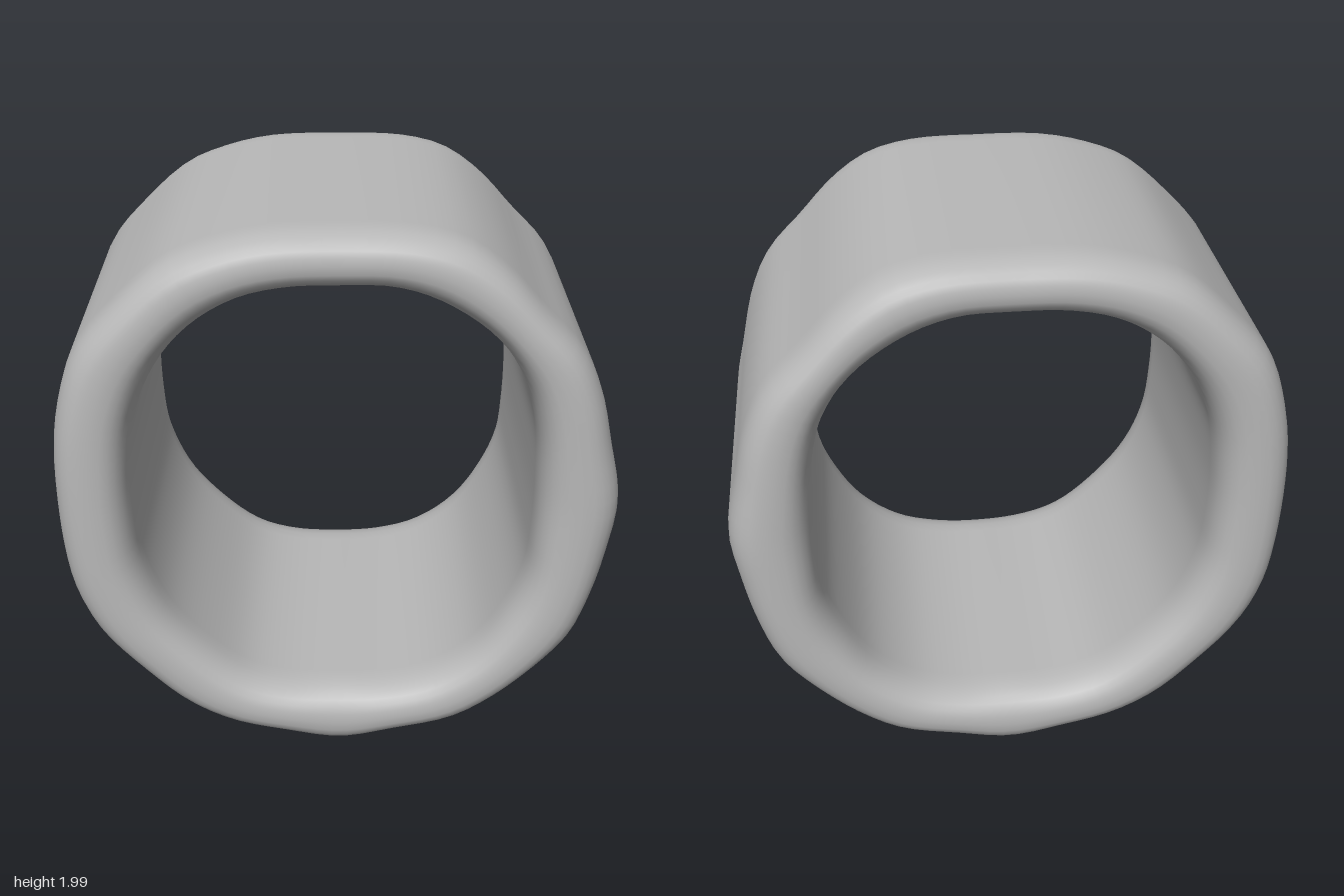
import * as THREE from 'three';

const SEGMENTS = 104; // steps around the ring
const CORNER = 7; // steps in each rounded corner of the wall

// Evenly spaced points on a closed smooth outline, clockwise from the top
function outline(points) {
  const curve = new THREE.CatmullRomCurve3(points.map(([x, y]) => new THREE.Vector3(x, y, 0)), true);
  curve.arcLengthDivisions = 800;
  return curve.getSpacedPoints(SEGMENTS).slice(0, SEGMENTS);
}

// Wall cross-section: t runs from the inner (0) to the outer (1) outline, z is the depth
function wallSection() {
  const section = [];
  for (let quarter = 0; quarter < 4; quarter++) {
    for (let k = 0; k <= CORNER; k++) {
      const a = Math.PI / 2 - (quarter + k / CORNER) * Math.PI / 2;
      const c = Math.cos(a), s = Math.sin(a);
      const front = quarter === 0 || quarter === 3 ? 1 : -1;
      if (k === 0 && quarter % 2 === 0) continue; // shared middle of a rim
      section.push({
        t: 0.5 + 0.5 * Math.sign(c) * Math.abs(c) ** 0.82,
        z: front * (0.45 + 0.16 * Math.abs(s) ** 0.82),
      });
    }
  }
  return section;
}

function ringGeometry(outer, inner) {
  const section = wallSection();
  const n = section.length;
  const positions = [], index = [];
  for (let i = 0; i < SEGMENTS; i++) {
    const o = outer[i], q = inner[i];
    for (const { t, z } of section) {
      const x = THREE.MathUtils.lerp(q.x, o.x, t);
      const y = THREE.MathUtils.lerp(q.y, o.y, t);
      // the rims dip slightly at the top and bottom
      const depth = 0.98 + 0.025 * Math.min(1, Math.abs(x) / 0.7);
      positions.push(x, y, z * depth);
    }
    const next = (i + 1) % SEGMENTS;
    for (let j = 0; j < n; j++) {
      const k = (j + 1) % n;
      const a = i * n + j, b = next * n + j, c = next * n + k, d = i * n + k;
      index.push(a, b, c, a, c, d);
    }
  }
  const geometry = new THREE.BufferGeometry();
  geometry.setAttribute('position', new THREE.Float32BufferAttribute(positions, 3));
  geometry.setIndex(index);
  geometry.computeVertexNormals();
  return geometry;
}

export function createModel() {
  const group = new THREE.Group();
  group.name = 'wideRing';

  const grey = new THREE.MeshStandardMaterial({ color: 0xb8b8b8 });
  grey.name = 'grey';

  // Slightly irregular outside, with blunt points at the bottom and one side
  const outer = outline([
    [0, 2], [0.25, 1.99], [0.4, 1.95], [0.53, 1.86], [0.66, 1.72], [0.79, 1.58],
    [0.86, 1.43], [0.905, 1.25], [0.95, 1.03], [0.93, 0.85], [0.89, 0.66],
    [0.83, 0.49], [0.72, 0.35], [0.56, 0.2], [0.42, 0.11], [0.2, 0.05], [0, 0.004],
    [-0.2, 0.045], [-0.4, 0.1], [-0.56, 0.19], [-0.71, 0.34], [-0.85, 0.51],
    [-0.92, 0.67], [-0.95, 0.85], [-0.953, 1.2], [-0.92, 1.41], [-0.85, 1.6],
    [-0.73, 1.74], [-0.56, 1.89], [-0.42, 1.95], [-0.25, 1.99],
  ]);

  // Rounded opening
  const inner = outline([
    [0, 1.81], [0.17, 1.805], [0.33, 1.75], [0.5, 1.63], [0.6, 1.48], [0.65, 1.3],
    [0.665, 1.1], [0.665, 0.9], [0.65, 0.74], [0.59, 0.58], [0.48, 0.41],
    [0.33, 0.3], [0.17, 0.255], [0, 0.25], [-0.17, 0.255], [-0.32, 0.3],
    [-0.47, 0.42], [-0.6, 0.58], [-0.68, 0.78], [-0.7, 0.95], [-0.7, 1.15],
    [-0.67, 1.36], [-0.59, 1.54], [-0.47, 1.68], [-0.32, 1.77], [-0.17, 1.805],
  ]);

  const band = new THREE.Mesh(ringGeometry(outer, inner), grey);
  band.name = 'band';
  group.add(band);
  return group;
}
